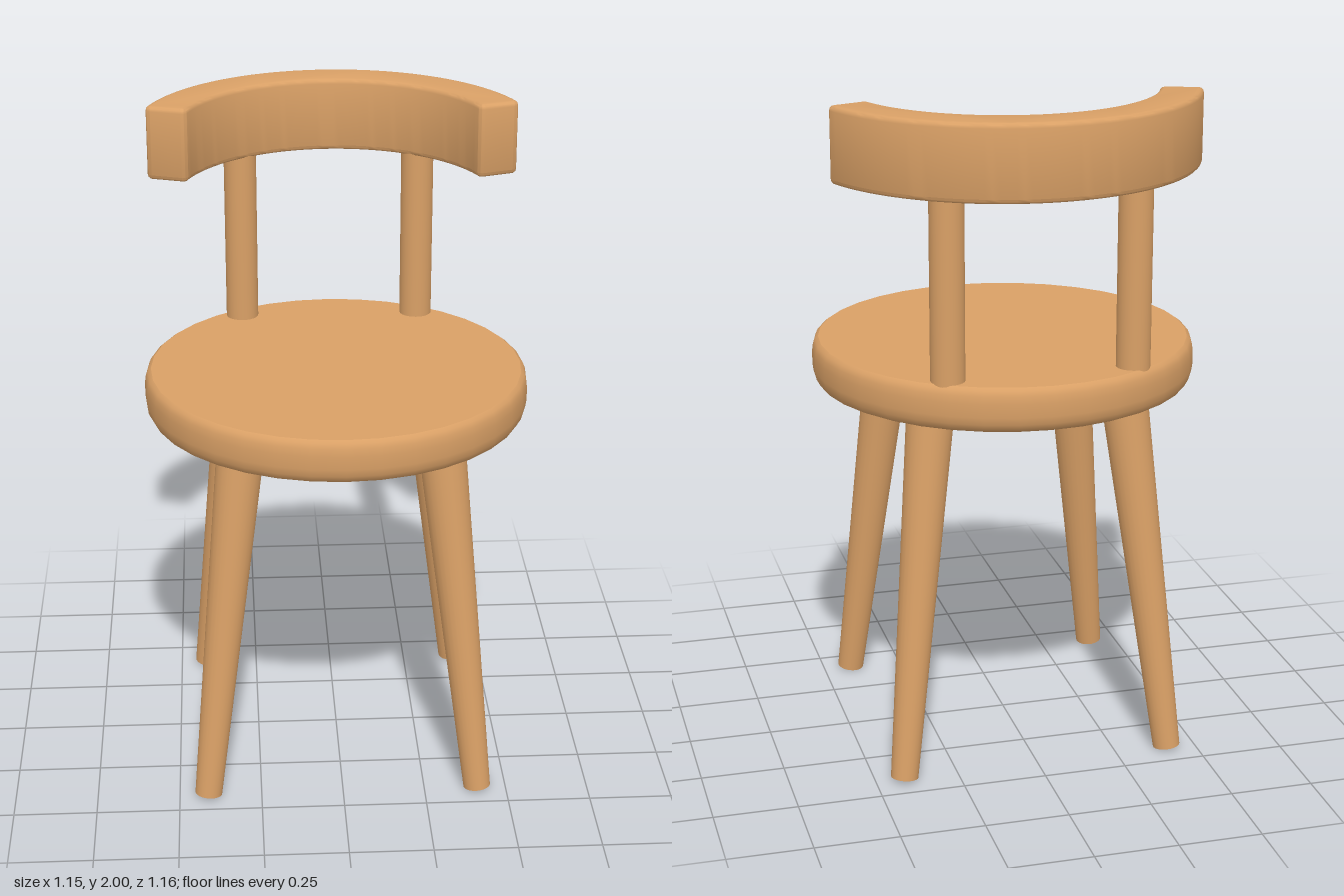
import * as THREE from 'three';
import { toCreasedNormals } from 'three/addons/utils/BufferGeometryUtils.js';

const wood = new THREE.MeshStandardMaterial({ color: 0xd9a066 });
wood.name = 'wood';

const V = (x, y, z) => new THREE.Vector3(x, y, z);

function part(name, geometry) {
  const mesh = new THREE.Mesh(geometry, wood);
  mesh.name = name;
  return mesh;
}

// Tapered round bar between two points
function bar(name, bottom, top, rBottom, rTop) {
  const dir = top.clone().sub(bottom);
  const mesh = part(name, new THREE.CylinderGeometry(rTop, rBottom, dir.length(), 24));
  mesh.position.copy(bottom).add(top).multiplyScalar(0.5);
  mesh.quaternion.setFromUnitVectors(V(0, 1, 0), dir.normalize());
  return mesh;
}

// Round seat with softened rims
function seat() {
  const profile = [
    [0, 1.11], [0.545, 1.11], [0.562, 1.118], [0.573, 1.138], [0.576, 1.16],
    [0.576, 1.2], [0.573, 1.222], [0.567, 1.237], [0.557, 1.245], [0, 1.245],
  ].map(([r, y]) => new THREE.Vector2(r, y));
  return part('seat', toCreasedNormals(new THREE.LatheGeometry(profile, 36), 0.65));
}

// Curved backrest: an arc band with rounded ends and bevelled edges
function backrest() {
  const inner = 0.459, outer = 0.588, start = 0.325, end = Math.PI - start;
  const round = 0.02, bevel = 0.015, height = 0.225;
  const polar = (r, a) => [r * Math.cos(a), r * Math.sin(a)];
  const da = round / outer, di = round / inner;
  const s = new THREE.Shape();
  s.moveTo(...polar(outer, start + da));
  s.absarc(0, 0, outer, start + da, end - da, false);
  s.quadraticCurveTo(...polar(outer, end), ...polar(outer - round, end));
  s.lineTo(...polar(inner + round, end));
  s.quadraticCurveTo(...polar(inner, end), ...polar(inner, end - di));
  s.absarc(0, 0, inner, end - di, start + di, true);
  s.quadraticCurveTo(...polar(inner, start), ...polar(inner + round, start));
  s.lineTo(...polar(outer - round, start));
  s.quadraticCurveTo(...polar(outer, start), ...polar(outer, start + da));
  const geometry = new THREE.ExtrudeGeometry(s, {
    depth: height - 2 * bevel, curveSegments: 32, bevelEnabled: true,
    bevelThickness: bevel, bevelSize: bevel, bevelOffset: -bevel, bevelSegments: 3,
  });
  geometry.translate(0, 0, bevel).rotateX(-Math.PI / 2).translate(0, 2 - height, 0);
  return part('backrest', toCreasedNormals(geometry, 0.6));
}

export function createModel() {
  const chair = new THREE.Group();
  chair.name = 'chair';
  chair.add(seat(), backrest());

  for (const sx of [1, -1]) {
    const side = sx > 0 ? 'Left' : 'Right';
    // Upright posts carrying the backrest
    chair.add(bar('post' + side, V(sx * 0.275, 1.18, -0.433), V(sx * 0.275, 1.82, -0.433), 0.05, 0.05));
    // Splayed, tapered legs
    for (const sz of [1, -1]) {
      chair.add(bar((sz > 0 ? 'front' : 'back') + 'Leg' + side,
        V(sx * 0.412, 0.006, sz * 0.412), V(sx * 0.291, 1.14, sz * 0.291), 0.041, 0.071));
    }
  }
  // Everything but the backrest sits a hair forward
  for (const mesh of chair.children) if (mesh.name !== 'backrest') mesh.position.z += 0.004;
  chair.getObjectByName('backrest').position.z = 0.004;
  return chair;
}
